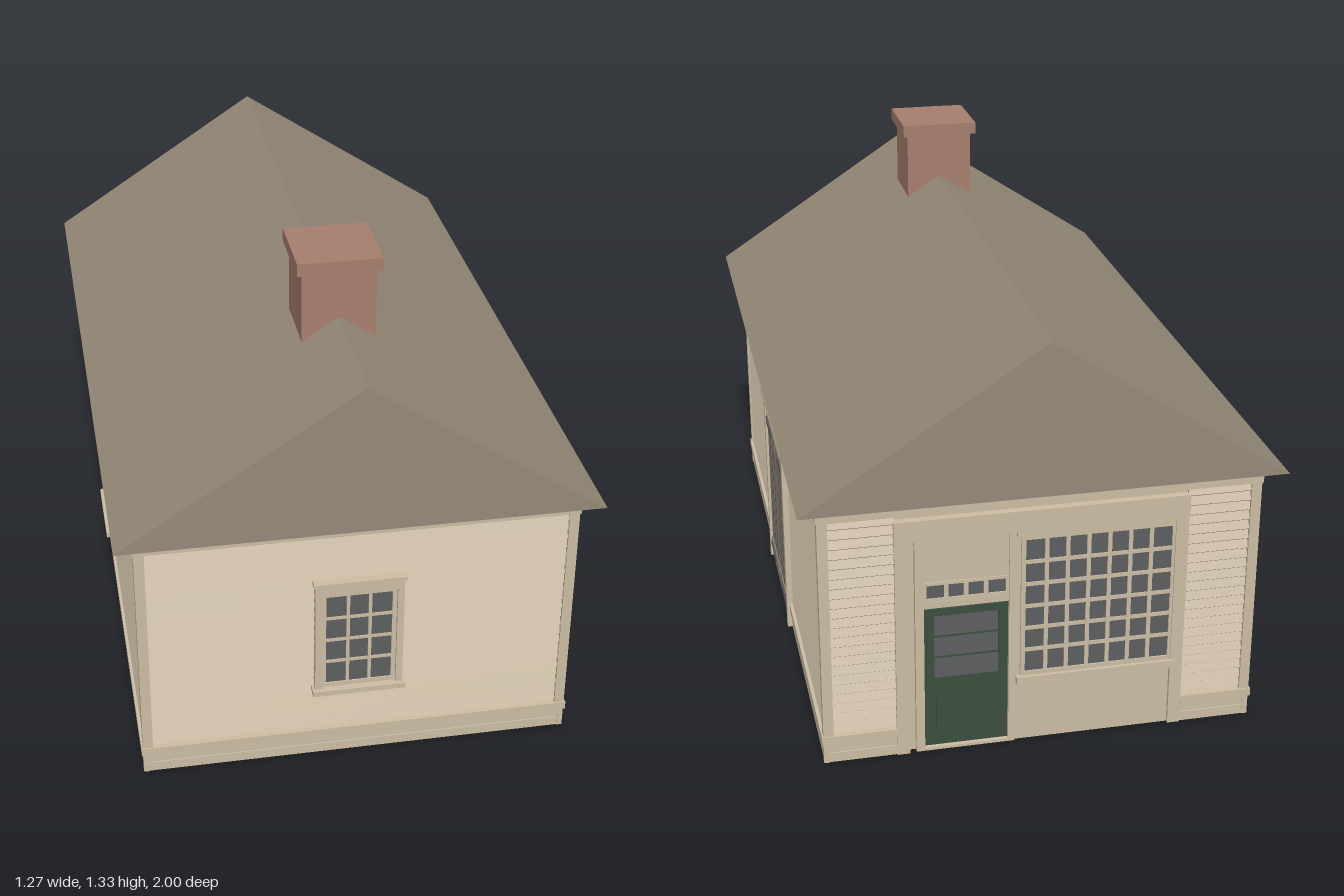
import * as THREE from 'three';

const mat = (name, color) => {
  const m = new THREE.MeshStandardMaterial({ color });
  m.name = name;
  return m;
};

export function createModel() {
  const siding = mat('cream siding', 0xcbbca4);
  const roofing = mat('brown roof', 0x958977);
  const brick = mat('chimney brick', 0xa67e6d);
  const glass = mat('dark glass', 0x5d5e60);
  const iron = mat('dark iron', 0x5a5c60);
  const green = mat('green door paint', 0x3b4e3e);

  const model = new THREE.Group();
  model.name = 'clapboardShop';

  const add = (parent, name, geo, material) => {
    const mesh = new THREE.Mesh(geo, material);
    mesh.name = name;
    parent.add(mesh);
    return mesh;
  };

  // Box given by its limits; on a wall, z is the distance out from the wall plane
  const box = (parent, name, material, x0, x1, y0, y1, z0, z1) => {
    const geo = new THREE.BoxGeometry(x1 - x0, y1 - y0, z1 - z0);
    geo.translate((x0 + x1) / 2, (y0 + y1) / 2, (z0 + z1) / 2);
    return add(parent, name, geo, material);
  };

  const group = (parent, name) => {
    const g = new THREE.Group();
    g.name = name;
    parent.add(g);
    return g;
  };

  // Overlapping boards as one saw-tooth profile drawn along the wall
  const clapboards = (parent, x0, x1) => {
    const bottom = 0.057, top = 0.725, pitch = 0.028;
    const s = new THREE.Shape();
    s.moveTo(0, bottom);
    for (let y = bottom; y < top - 0.01; y += pitch) {
      s.lineTo(0.004, y);
      s.lineTo(0.013, y + 0.006);
      s.lineTo(0.004, y + pitch - 0.0005);
    }
    s.lineTo(0, top + 0.004);
    const geo = new THREE.ExtrudeGeometry(s, { depth: x1 - x0, bevelEnabled: false });
    geo.rotateY(-Math.PI / 2).translate(x1, 0, 0);
    add(parent, 'clapboards', geo, siding);
  };

  // Glass behind a sash of crossing bars
  const glazing = (parent, x0, x1, y0, y1, cols, rows, z, rim, bar, frame = siding) => {
    const g = group(parent, 'glazing');
    box(g, 'glass', glass, x0, x1, y0, y1, z, z + 0.002);
    const a = z, b = z + 0.006;
    box(g, 'sashLeft', frame, x0 - rim, x0, y0 - rim, y1 + rim, a, b);
    box(g, 'sashRight', frame, x1, x1 + rim, y0 - rim, y1 + rim, a, b);
    box(g, 'sashBottom', frame, x0, x1, y0 - rim, y0, a, b);
    box(g, 'sashTop', frame, x0, x1, y1, y1 + rim, a, b);
    for (let i = 1; i < cols; i++) {
      const x = x0 + (x1 - x0) * i / cols;
      box(g, 'uprightBar', frame, x - bar / 2, x + bar / 2, y0, y1, a, b - 0.001);
    }
    for (let i = 1; i < rows; i++) {
      const y = y0 + (y1 - y0) * i / rows;
      box(g, 'crossBar', frame, x0, x1, y - bar / 2, y + bar / 2, a, b - 0.0015);
    }
  };

  // Small window with casing, cap and sill
  const sashWindow = (parent) => {
    const g = group(parent, 'window');
    glazing(g, -0.088, 0.088, 0.237, 0.515, 3, 4, 0.014, 0.012, 0.009);
    for (const s of [-1, 1]) {
      box(g, 'sideCasing', siding, Math.min(s * 0.1, s * 0.118), Math.max(s * 0.1, s * 0.118), 0.225, 0.555, 0, 0.028);
    }
    box(g, 'headCasing', siding, -0.1, 0.1, 0.527, 0.555, 0, 0.028);
    box(g, 'cap', siding, -0.123, 0.123, 0.555, 0.566, 0, 0.034);
    box(g, 'sill', siding, -0.125, 0.125, 0.21, 0.225, 0, 0.04);
  };

  // Wall with skirting, frieze and corner boards; gap leaves the middle free
  const wall = (name, turn, distance, half, gap) => {
    const g = group(model, name);
    g.rotation.y = turn;
    const inner = new THREE.Group();
    inner.name = name + 'Face';
    inner.position.z = distance;
    g.add(inner);
    box(inner, 'wallPanel', siding, -half + 0.016, half - 0.016, 0, 0.745, -0.005, 0);
    const spans = gap ? [[-half, -gap], [gap, half]] : [[-half, half]];
    for (const [a, b] of spans) {
      const l = a === -half ? 1 : 0, r = b === half ? 1 : 0;
      clapboards(inner, a + l * 0.025, b - r * 0.025);
      box(inner, 'skirtingLower', siding, a, b, 0, 0.027, 0, 0.014);
      box(inner, 'skirtingUpper', siding, a, b, 0.03, 0.057, 0, 0.014);
      box(inner, 'skirtingBack', siding, a, b, 0, 0.057, 0, 0.01);
      box(inner, 'waterTable', siding, a - l * 0.004, b + r * 0.004, 0.057, 0.08, 0, 0.02);
    }
    box(inner, 'frieze', siding, -half - 0.003, half + 0.003, 0.7, 0.745, 0, 0.019);
    box(inner, 'cornerBoardLeft', siding, -half, -half + 0.027, 0.08, 0.7, 0, 0.016);
    box(inner, 'cornerBoardRight', siding, half - 0.027, half, 0.08, 0.7, 0, 0.016);
    return inner;
  };

  const front = wall('frontWall', 0, 0.93, 0.581, 0);
  const left = wall('leftWall', Math.PI / 2, 0.565, 0.946, 0);
  const right = wall('rightWall', -Math.PI / 2, 0.565, 0.946, 0);
  const back = wall('backWall', Math.PI, 0.93, 0.581, 0.385);

  sashWindow(front);
  sashWindow(right);

  // Double barn door: boards, battens and strap hinges
  const barn = group(left, 'barnDoor');
  box(barn, 'headCasing', siding, -0.24, 0.24, 0.53, 0.562, 0, 0.028);
  box(barn, 'cap', siding, -0.245, 0.245, 0.562, 0.575, 0, 0.035);
  for (const s of [-1, 1]) {
    const part = (name, m, a, b, y0, y1, z0, z1) =>
      box(barn, name, m, Math.min(s * a, s * b), Math.max(s * a, s * b), y0, y1, z0, z1);
    part('sideCasing', siding, 0.215, 0.24, 0.005, 0.53, 0, 0.028);
    part('doorLeaf', roofing, 0, 0.215, 0.005, 0.53, 0, 0.0205);
    for (const x of [0.053, 0.107, 0.16]) {
      part('boardGap', iron, x - 0.004, x + 0.004, 0.006, 0.529, 0.0195, 0.0212);
    }
    for (const y of [0.055, 0.48]) {
      part('batten', roofing, 0.005, 0.21, y - 0.021, y + 0.021, 0.019, 0.0235);
      part('strapHinge', iron, 0.08, 0.215, y - 0.008, y + 0.008, 0.022, 0.026);
    }
  }

  // Shop front: sign board, pilasters, door with transom, large window
  const shop = group(back, 'shopFront');
  box(shop, 'signBoard', siding, -0.388, 0.388, 0.625, 0.685, 0, 0.021);
  for (const s of [-1, 1]) {
    box(shop, 'pilaster', siding, s * 0.37 - 0.017, s * 0.37 + 0.017, 0, 0.625, 0, 0.018);
  }
  box(shop, 'windowPanel', siding, -0.085, 0.353, 0, 0.625, 0, 0.008);
  box(shop, 'doorHead', siding, -0.32, -0.085, 0.5, 0.625, 0, 0.008);
  box(shop, 'doorJambLeft', siding, -0.335, -0.312, 0, 0.625, 0, 0.014);
  box(shop, 'doorJambRight', siding, -0.088, -0.07, 0, 0.625, 0, 0.014);
  box(shop, 'transomRail', siding, -0.312, -0.088, 0.425, 0.445, 0, 0.01);
  glazing(shop, -0.304, -0.096, 0.452, 0.49, 4, 1, 0.002, 0.008, 0.012);

  box(shop, 'door', green, -0.312, -0.088, 0.008, 0.425, 0, 0.002);
  glazing(shop, -0.285, -0.115, 0.215, 0.4, 1, 3, 0.002, 0.02, 0.005, green);
  box(shop, 'doorLowerPanel', green, -0.28, -0.12, 0.04, 0.175, 0.001, 0.005);
  box(shop, 'threshold', siding, -0.312, -0.088, 0, 0.008, 0, 0.014);

  glazing(shop, -0.045, 0.345, 0.21, 0.598, 7, 6, 0.0085, 0.012, 0.011);
  box(shop, 'shopWindowSill', siding, -0.068, 0.362, 0.178, 0.198, 0, 0.024);
  box(shop, 'shopWindowHead', siding, -0.068, 0.353, 0.61, 0.625, 0, 0.017);

  // Roof: closed prism with flat soffit
  const gable = new THREE.Shape();
  gable.moveTo(-0.633, 0.745);
  gable.lineTo(0.633, 0.745);
  gable.lineTo(0, 1.16);
  gable.closePath();
  const roofGeo = new THREE.ExtrudeGeometry(gable, { depth: 2, bevelEnabled: false });
  add(model, 'roof', roofGeo.translate(0, 0, -1), roofing);

  // Chimney
  const chimney = group(model, 'chimney');
  box(chimney, 'stack', brick, -0.098, 0.098, 1.05, 1.29, 0.432, 0.626);
  box(chimney, 'chimneyCap', brick, -0.112, 0.112, 1.29, 1.325, 0.418, 0.64);

  return model;
}
